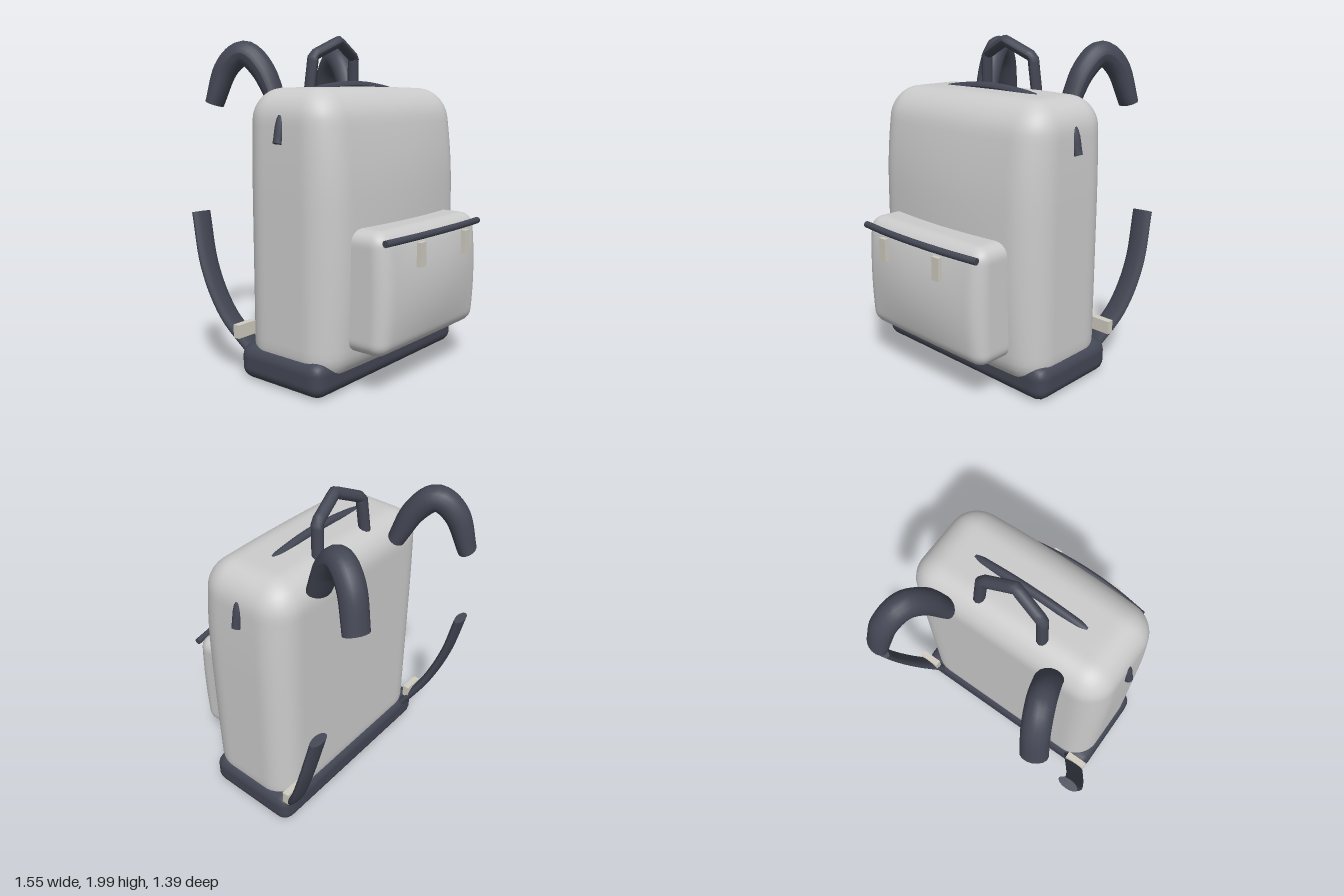
import * as THREE from 'three';
import { mergeVertices } from 'three/addons/utils/BufferGeometryUtils.js';

const fabric = new THREE.MeshStandardMaterial({ color: 0xcccccc });
const dark = new THREE.MeshStandardMaterial({ color: 0x434754 });
const metal = new THREE.MeshStandardMaterial({ color: 0xd0ccc0 });

// Finely divided rounded box given by its min and max corners, reshaped by a rule
function softBox(min, max, r, rule) {
  const lo = new THREE.Vector3(...min), hi = new THREE.Vector3(...max);
  const size = hi.clone().sub(lo), mid = lo.clone().add(hi).multiplyScalar(0.5);
  let geo = new THREE.BoxGeometry(size.x, size.y, size.z, 40, 40, 24);
  geo.translate(mid.x, mid.y, mid.z);
  geo.deleteAttribute('normal');
  geo.deleteAttribute('uv');
  geo = mergeVertices(geo);
  const inLo = lo.clone().addScalar(r), inHi = hi.clone().addScalar(-r);
  const pos = geo.attributes.position, p = new THREE.Vector3();
  for (let i = 0; i < pos.count; i++) {
    p.fromBufferAttribute(pos, i);
    const core = p.clone().clamp(inLo, inHi);
    p.sub(core).setLength(r).add(core);
    if (rule) rule(p);
    pos.setXYZ(i, p.x, p.y, p.z);
  }
  geo.computeVertexNormals();
  return geo;
}

// Capped elliptical sweep along points; "across" is the direction of the width
function sweep(points, across, halfWidth, halfThick, { tension = 0.5, steps = 32, sides = 16, swell = 0 } = {}) {
  const curve = new THREE.CatmullRomCurve3(points.map(p => new THREE.Vector3(...p)), false, 'catmullrom', tension);
  const verts = [], index = [], row = sides + 1;
  const ring = (t) => {
    const c = curve.getPointAt(t), tan = curve.getTangentAt(t);
    const u = new THREE.Vector3(...across);
    u.addScaledVector(tan, -u.dot(tan)).normalize();
    const n = tan.clone().cross(u), thick = halfThick + swell * Math.sin(Math.PI * t);
    for (let j = 0; j <= sides; j++) {
      const a = (j % sides) / sides * Math.PI * 2;
      const v = c.clone().addScaledVector(u, halfWidth * Math.cos(a)).addScaledVector(n, thick * Math.sin(a));
      verts.push(v.x, v.y, v.z);
    }
    return c;
  };
  for (let i = 0; i <= steps; i++) ring(i / steps);
  for (let i = 0; i < steps; i++) for (let j = 0; j < sides; j++) {
    const a = i * row + j, b = a + 1, c = a + row, d = c + 1;
    index.push(a, b, c, b, d, c);
  }
  // Separate cap vertices keep the cut ends crisp
  for (const t of [0, 1]) {
    const start = verts.length / 3, c = ring(t), centre = verts.length / 3;
    verts.push(c.x, c.y, c.z);
    for (let j = 0; j < sides; j++) {
      if (t) index.push(centre, start + j, start + j + 1);
      else index.push(centre, start + j + 1, start + j);
    }
  }
  const geo = new THREE.BufferGeometry();
  geo.setAttribute('position', new THREE.Float32BufferAttribute(verts, 3));
  geo.setIndex(index);
  geo.computeVertexNormals();
  return geo;
}

export function createModel() {
  const model = new THREE.Group();
  model.name = 'backpack';
  const add = (name, geo, material, at = [0, 0, 0]) => {
    const mesh = new THREE.Mesh(geo, material);
    mesh.name = name;
    mesh.position.set(...at);
    model.add(mesh);
  };
  const mirrored = (points, s) => points.map(([x, y, z]) => [x * s, y, z]);
  // Completes a half path that ends on the centre line
  const symmetric = (half) => [...mirrored(half, -1), ...half.slice(0, -1).reverse()];

  // Main compartment: bulging front, slightly narrower and sloping top
  add('mainCompartment', softBox([-0.66, 0.06, -0.275], [0.66, 1.68, 0.36], 0.17, (p) => {
    const h = Math.min(1, Math.max(0, (p.y - 0.06) / 1.62));
    const front = Math.max(0, (p.z + 0.1) / 0.46);
    p.z += 0.07 * front * (1 - (p.x / 0.66) ** 2 * 0.9) * Math.pow(Math.sin(Math.PI * h), 0.8);
    p.z -= 0.04 * front * Math.max(0, (h - 0.65) / 0.35) ** 2;
    p.x *= 1 - 0.03 * Math.max(0, (h - 0.6) / 0.4) ** 2;
    p.y += 0.012 * Math.max(0, (h - 0.8) / 0.2) * (1 - (p.x / 0.66) ** 2);
  }), fabric);

  // Reinforced base
  add('base', softBox([-0.685, 0.005, -0.295], [0.685, 0.215, 0.33], 0.075), dark);

  // Front pocket with its zip and pulls
  add('frontPocket', softBox([-0.49, 0.245, 0.28], [0.49, 0.935, 0.61], 0.08, (p) => {
    const front = Math.max(0, (p.z - 0.36) / 0.25), v = (p.y - 0.59) / 0.345;
    p.z += 0.045 * front * (1 - (p.x / 0.49) ** 2) * (1 - v * v);
    p.z -= 0.015 * front * v * v;
  }), fabric);
  add('pocketZip', sweep(symmetric([[0.475, 0.883, 0.61], [0.25, 0.889, 0.64], [0, 0.892, 0.652]]),
    [0, 1, 0], 0.02, 0.02, { sides: 10 }), dark);
  for (const s of [1, -1]) {
    add(s > 0 ? 'leftZipPull' : 'rightZipPull', new THREE.BoxGeometry(0.054, 0.135, 0.026), metal, [s * 0.23, 0.798, 0.673]);
  }

  // Main zip, dipping below the fabric at the top corners
  add('mainZip', sweep(symmetric([[0.665, 1.385, 0.028], [0.61, 1.545, 0.028], [0.4, 1.652, 0.028], [0.2, 1.69, 0.028], [0, 1.702, 0.028]]),
    [0, 0, 1], 0.026, 0.026, { steps: 48, sides: 10 }), dark);

  // Carry handle with a peaked top
  add('carryHandle', sweep(symmetric([[0.21, 1.6, -0.158], [0.188, 1.875, -0.135], [0, 1.963, -0.097]]),
    [0, 0, 1], 0.035, 0.033, { tension: 0, steps: 40, sides: 10 }), dark);

  // Shoulder straps: arched upper part, lower part and buckle
  const upper = [[0.345, 1.6, -0.28], [0.378, 1.79, -0.365], [0.42, 1.888, -0.475], [0.468, 1.8, -0.585], [0.508, 1.59, -0.652]];
  const lower = [[0.58, 0.16, -0.27], [0.67, 0.38, -0.395], [0.71, 0.65, -0.495], [0.7, 0.965, -0.573]];
  for (const s of [1, -1]) {
    const side = s > 0 ? 'left' : 'right';
    add(side + 'UpperStrap', sweep(mirrored(upper, s), [0.92 * s, 0, 0.39], 0.075, 0.053, { swell: 0.022 }), dark);
    add(side + 'LowerStrap', sweep(mirrored(lower, s), [1, 0, 0], 0.064, 0.028), dark);
    add(side + 'StrapBuckle', new THREE.BoxGeometry(0.135, 0.08, 0.042), metal, [s * 0.622, 0.28, -0.304]);
  }
  return model;
}
